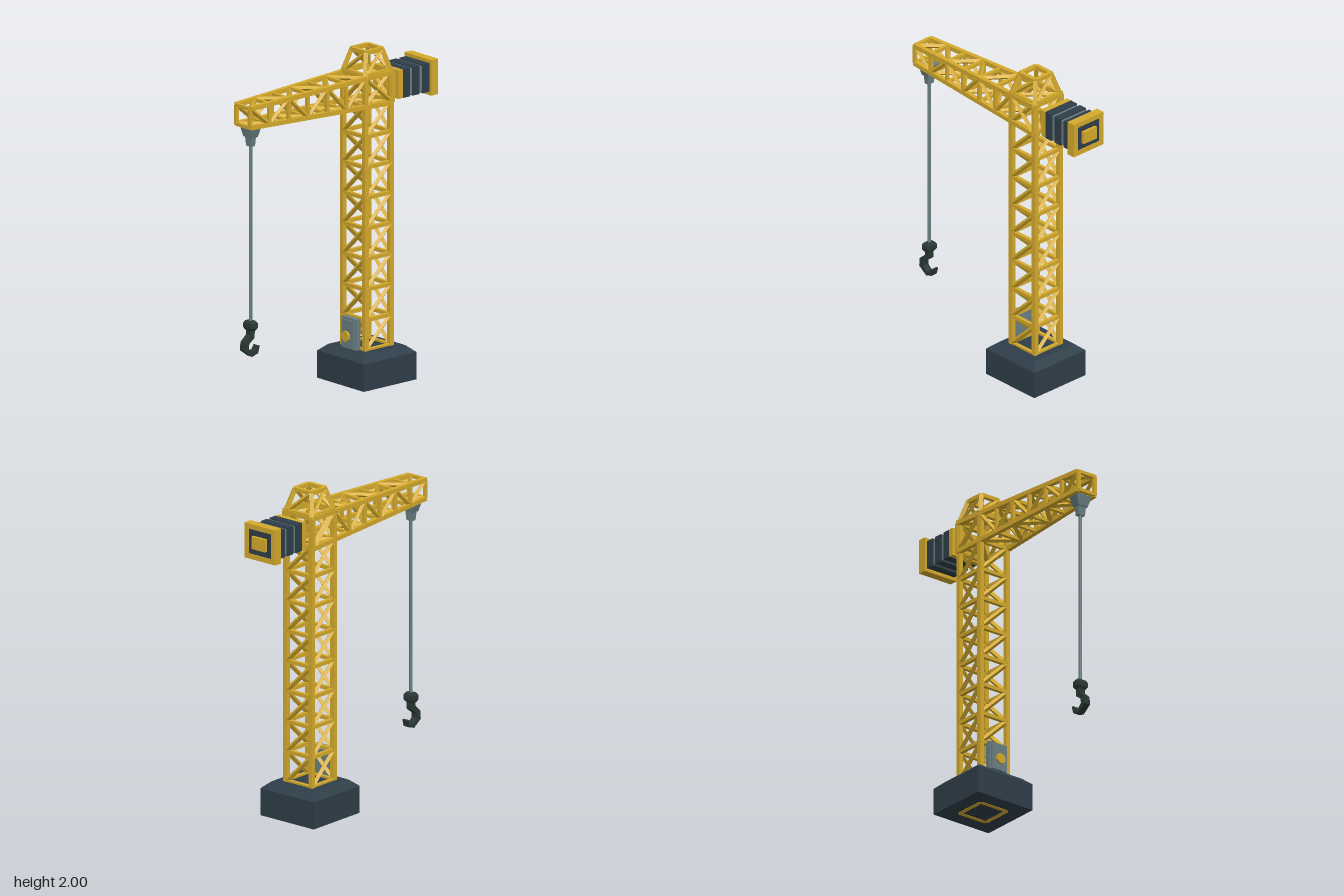
import * as THREE from 'three';
import { mergeGeometries } from 'three/addons/utils/BufferGeometryUtils.js';

const paint = (name, color) => {
  const m = new THREE.MeshStandardMaterial({ color });
  m.name = name;
  return m;
};
const V = (x, y, z) => new THREE.Vector3(x, y, z);

// Faceted copy of a geometry, ready for merging
function flat(geo) {
  const g = geo.index ? geo.toNonIndexed() : geo;
  g.computeVertexNormals();
  return g;
}

// Bar between two points: square section, or turned on edge for braces
function bar(a, b, w, onEdge = false) {
  const len = a.distanceTo(b);
  const g = onEdge
    ? new THREE.CylinderGeometry(w / 2, w / 2, len, 4).rotateX(Math.PI / 2)
    : new THREE.BoxGeometry(w, w, len);
  const m = new THREE.Matrix4().lookAt(b, a, V(0, 1, 0));
  m.setPosition(a.clone().add(b).multiplyScalar(0.5));
  return flat(g.applyMatrix4(m));
}

// Rectangular frustum standing on y0
function frustum(hx0, hz0, hx1, hz1, y0, y1, cx, cz) {
  const g = new THREE.BoxGeometry(2, y1 - y0, 2);
  const p = g.attributes.position;
  for (let i = 0; i < p.count; i++) {
    const top = p.getY(i) > 0;
    p.setX(i, p.getX(i) * (top ? hx1 : hx0) + cx);
    p.setZ(i, p.getZ(i) * (top ? hz1 : hz0) + cz);
    p.setY(i, top ? y1 : y0);
  }
  return flat(g);
}

const box = (w, h, d, x, y, z) => flat(new THREE.BoxGeometry(w, h, d).translate(x, y, z));

export function createModel() {
  const yellow = paint('craneYellow', 0xd6ab2c);
  const slate = paint('darkSlate', 0x2f3e49);
  const steel = paint('greySteel', 0x6b8084);
  const iron = paint('hookIron', 0x2b3934);

  const crane = new THREE.Group();
  crane.name = 'towerCrane';
  const add = (name, mat, ...geos) => {
    const mesh = new THREE.Mesh(geos.length > 1 ? mergeGeometries(geos) : geos[0], mat);
    mesh.name = name;
    crane.add(mesh);
  };

  const TZ = -0.254; // tower axis
  const corners = (h, y) => [[1, 1], [-1, 1], [-1, -1], [1, -1]].map(([x, z]) => V(x * h, y, TZ + z * h));

  // Base block with a bevelled top
  add('base', slate,
    frustum(0.204, 0.204, 0.204, 0.204, 0, 0.165, 0, TZ),
    frustum(0.204, 0.204, 0.158, 0.158, 0.165, 0.205, 0, TZ));

  // Tower lattice: legs, rungs and one brace per face in each bay
  const tower = [];
  const H = 0.097, Y0 = 0.022, STEP = 0.184, BAYS = 10;
  const top = Y0 + STEP * BAYS;
  corners(H, 0).forEach((c) => tower.push(bar(c.clone().setY(0.001), c.clone().setY(top), 0.028)));
  for (let i = 0; i <= BAYS; i++) {
    const lo = corners(H, Y0 + i * STEP), hi = corners(H, Y0 + (i + 1) * STEP);
    for (let k = 0; k < 4; k++) {
      const n = (k + 1) % 4;
      tower.push(bar(lo[k], lo[n], 0.022));
      if (i > 0 && i < BAYS) tower.push(bar(lo[n], hi[k], 0.03, true));
    }
  }
  // Lowest frame, visible under the base
  const foot = corners(H, 0.011);
  foot.forEach((c, k) => tower.push(bar(c, foot[(k + 1) % 4], 0.026)));
  add('towerLattice', yellow, ...tower);

  // Tapered tower head
  const head = [];
  const h0 = corners(0.1, top - 0.01), h1 = corners(0.062, 1.988);
  for (let k = 0; k < 4; k++) {
    const n = (k + 1) % 4;
    head.push(bar(h0[k], h1[k], 0.026), bar(h0[k], h0[n], 0.026), bar(h1[k], h1[n], 0.024));
    head.push(bar(h0[n], h1[k], 0.026, true));
  }
  add('towerHead', yellow, ...head);

  // Jib lattice: sections taper from tower to tip
  const jib = [];
  const section = (z) => {
    const t = (z + 0.155) / 0.857;
    const x = 0.1 - 0.04 * t, yt = 1.846 - 0.03 * t, yb = 1.676 + 0.026 * t;
    return [V(x, yt, z), V(-x, yt, z), V(-x, yb, z), V(x, yb, z)];
  };
  const zs = [-0.355];
  for (let i = 6; i >= 0; i--) zs.push(0.702 - i * 0.143);
  const secs = zs.map(section);
  secs.forEach((s, i) => {
    for (let k = 0; k < 4; k++) jib.push(bar(s[k], s[(k + 1) % 4], 0.02));
    if (i === secs.length - 1) return;
    const e = secs[i + 1], odd = i % 2 === 1;
    const brace = (a, b, flip) => jib.push(flip ? bar(s[a], e[b], 0.028, true) : bar(s[b], e[a], 0.028, true));
    brace(0, 1, odd);  // top
    brace(2, 3, odd);  // bottom
    brace(0, 3, odd);  // left side
    brace(1, 2, odd);  // right side
  });
  for (let k = 0; k < 4; k++) jib.push(bar(secs[0][k], secs[secs.length - 1][k], 0.027));
  add('jibLattice', yellow, ...jib);

  // Counterweight: neck, mounting plate, ribbed blocks and end cap
  const CY = 1.762;
  const neck = frustum(0.075, 0.06, 0.06, 0.048, 0, 0.06, 0, 0);
  neck.rotateX(Math.PI / 2).translate(0, CY, -0.415);
  add('counterweightNeck', yellow, neck);
  add('counterweightPlate', yellow, box(0.204, 0.172, 0.032, 0, CY, -0.426));
  add('counterweightBlocks', slate,
    ...[-0.47, -0.546, -0.622].map((z) => box(0.204, 0.172, 0.052, 0, CY, z)));
  add('counterweightCore', steel, box(0.188, 0.156, 0.19, 0, CY, -0.545));
  const rim = (hx, hy, c) => [[-hx, -hy], [hx, -hy], [hx, hy], [-hx, hy]].map(([x, y]) => new THREE.Vector2(x, y));
  const frame = new THREE.Shape(rim(0.118, 0.107));
  frame.holes.push(new THREE.Path(rim(0.086, 0.076)));
  const frameGeo = new THREE.ExtrudeGeometry(frame, { depth: 0.053, bevelEnabled: false });
  add('counterweightFrame', yellow, flat(frameGeo.translate(0, CY, -0.701)));
  add('counterweightPanel', slate, box(0.174, 0.154, 0.046, 0, CY, -0.673));
  add('counterweightBoss', yellow, box(0.104, 0.076, 0.03, 0, CY, -0.701));

  // Winch box and its knob on the tower front
  add('winchBox', steel,
    box(0.128, 0.186, 0.034, 0, 0.298, -0.132),
    box(0.104, 0.162, 0.012, 0, 0.298, -0.11));
  const knob = (r, d, z) => flat(new THREE.CylinderGeometry(r, r, d, 8)
    .rotateY(Math.PI / 8).rotateX(Math.PI / 2).translate(0, 0.285, z));
  add('winchKnob', yellow, knob(0.024, 0.02, -0.098), knob(0.033, 0.012, -0.09));

  // Trolley and cable under the jib tip
  const LZ = 0.645;
  add('trolley', steel,
    frustum(0.034, 0.026, 0.056, 0.037, 1.625, 1.695, 0, LZ),
    frustum(0.022, 0.015, 0.028, 0.018, 1.57, 1.625, 0, LZ));
  add('cable', steel, flat(new THREE.CylinderGeometry(0.01, 0.01, 1.09, 8).translate(0, 1.045, LZ)));

  // Hook block
  add('hookBlock', iron,
    frustum(0.026, 0.017, 0.036, 0.025, 0.46, 0.475, 0, LZ),
    frustum(0.036, 0.025, 0.036, 0.025, 0.475, 0.503, 0, LZ),
    frustum(0.036, 0.025, 0.026, 0.017, 0.503, 0.518, 0, LZ));

  // Hook, drawn in the z-y plane and extruded across x
  const outline = [
    [0.66, 0.465], [0.66, 0.435], [0.705, 0.395], [0.708, 0.345], [0.65, 0.303], [0.605, 0.317],
    [0.592, 0.36], [0.604, 0.362], [0.618, 0.338], [0.648, 0.329], [0.676, 0.356], [0.673, 0.385],
    [0.632, 0.415], [0.63, 0.465],
  ].map(([z, y]) => new THREE.Vector2(z, y));
  const hook = new THREE.ExtrudeGeometry(new THREE.Shape(outline), { depth: 0.042, bevelEnabled: false });
  add('hook', iron, flat(hook.translate(0, 0, -0.021).rotateY(-Math.PI / 2)));

  return crane;
}
